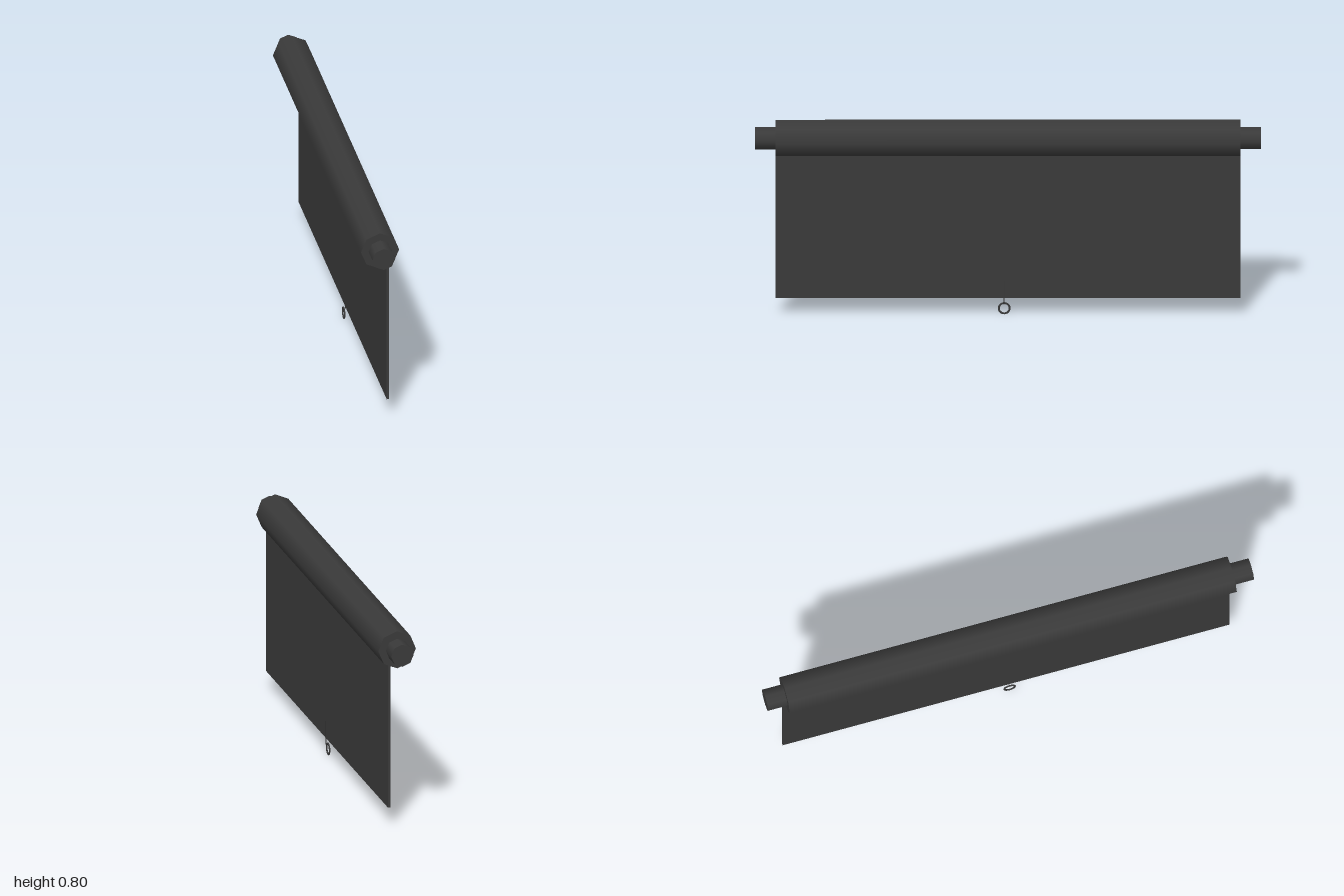
import * as THREE from 'three';

export function createModel() {
  const group = new THREE.Group();
  group.name = 'rollerBlind';
  const material = new THREE.MeshStandardMaterial({ color: 0x3a3a3a });

  const add = (name, geometry, x, y, z) => {
    const mesh = new THREE.Mesh(geometry, material);
    mesh.name = name;
    mesh.position.set(x, y, z);
    group.add(mesh);
    return mesh;
  };

  const axisY = 0.725;
  const halfWidth = 0.92;
  // Eight-sided smooth bar lying along z
  const bar = (radius, length) =>
    new THREE.CylinderGeometry(radius, radius, length, 8).rotateX(Math.PI / 2);

  // Rolled fabric with a mounting pin at each end
  add('roller', bar(0.077, halfWidth * 2), 0, axisY, 0);
  const pinLength = 1 - halfWidth;
  for (const side of [1, -1]) {
    add(side > 0 ? 'frontPin' : 'backPin', bar(0.046, pinLength), 0, axisY, side * (halfWidth + pinLength / 2));
  }

  // Hanging fabric, its top tucked into the roller
  const bottom = 0.072, top = 0.667;
  add('fabricSheet', new THREE.BoxGeometry(0.01, top - bottom, halfWidth * 2), 0.032, (top + bottom) / 2, 0);

  // Pull cord on the face of the fabric, and its ring
  add('pullCord', new THREE.CylinderGeometry(0.002, 0.002, 0.097, 6), 0.036, 0.0935, 0.015);
  const ring = new THREE.TorusGeometry(0.0215, 0.004, 8, 20).rotateY(Math.PI / 2).scale(0.8, 1, 1);
  add('pullRing', ring, 0.028, 0.0265, 0.015);

  return group;
}
